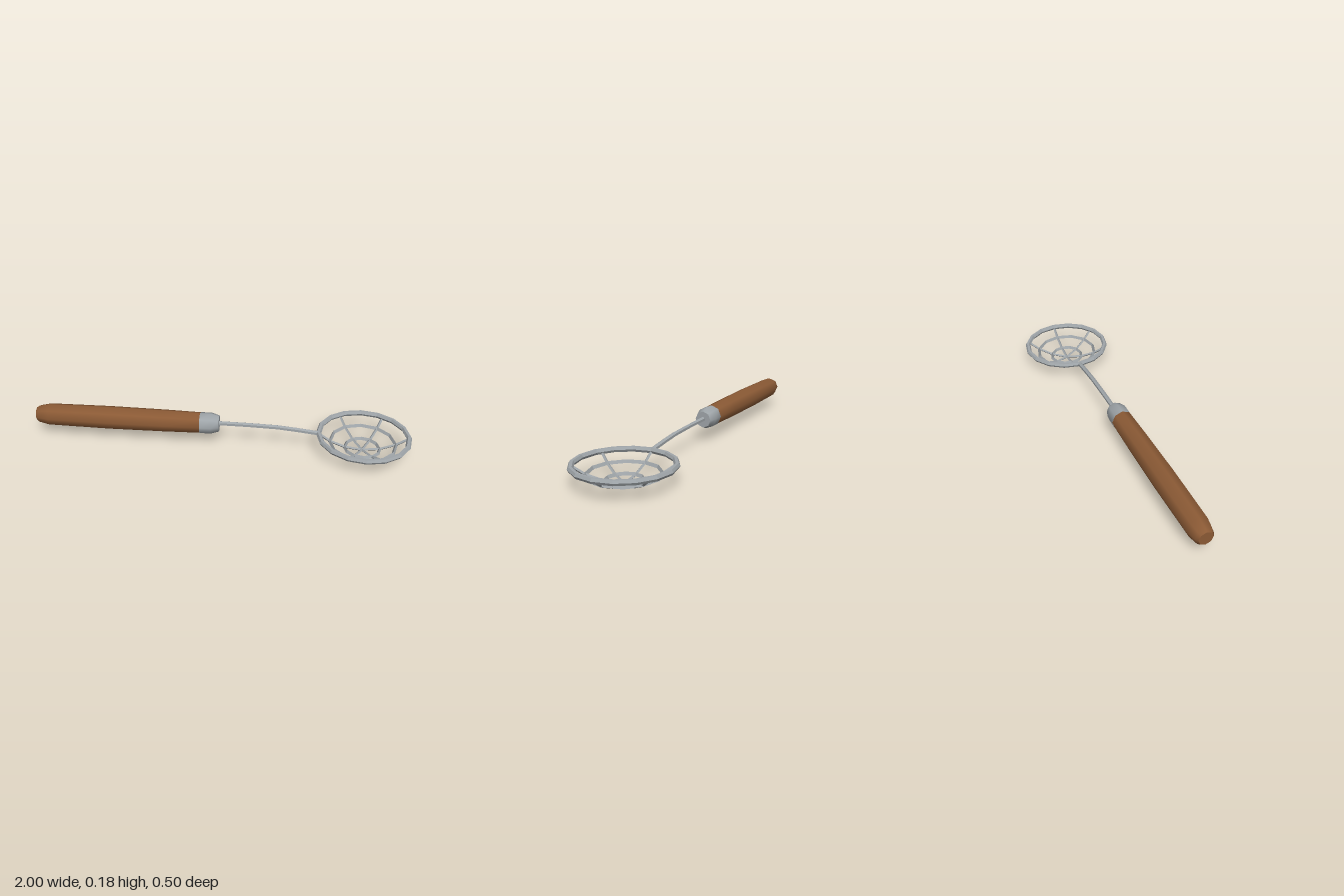
import * as THREE from 'three';
import { toCreasedNormals } from 'three/addons/utils/BufferGeometryUtils.js';

const wood = new THREE.MeshStandardMaterial({ color: 0x8b5a35 });
wood.name = 'wood';
const steel = new THREE.MeshStandardMaterial({ color: 0x9fa5a9 });
steel.name = 'steel';

const BOWL_X = 0.752;
const AXIS_Y = 0.1175;

function part(name, geometry, material, crease) {
  const mesh = new THREE.Mesh(toCreasedNormals(geometry, crease), material);
  mesh.name = name;
  return mesh;
}

// Eight-sided turned part along x, from [x, radius] pairs
function turned(profile) {
  const pts = profile.map(([x, r]) => new THREE.Vector2(r, x));
  return new THREE.LatheGeometry(pts, 8).rotateZ(-Math.PI / 2).translate(0, AXIS_Y, 0);
}

// Wire hoop around y with an n-sided section; start is the angle of a section corner
function hoop(radius, y, wire, n, start, segments) {
  const pts = [];
  for (let i = 0; i <= n; i++) {
    const a = start + (i / n) * Math.PI * 2;
    pts.push(new THREE.Vector2(radius + Math.cos(a) * wire, y + Math.sin(a) * wire));
  }
  return new THREE.LatheGeometry(pts, segments);
}

// Bent wire in the xy plane with an n-sided section, one corner upwards
function bentWire(path, wire, n) {
  const position = [];
  const index = [];
  path.forEach(([x, y], k) => {
    const a = path[Math.max(k - 1, 0)];
    const b = path[Math.min(k + 1, path.length - 1)];
    const len = Math.hypot(b[0] - a[0], b[1] - a[1]);
    const nx = -(b[1] - a[1]) / len;
    const ny = (b[0] - a[0]) / len;
    for (let i = 0; i < n; i++) {
      const t = (i / n) * Math.PI * 2;
      const up = Math.cos(t) * wire;
      position.push(x + nx * up, y + ny * up, Math.sin(t) * wire);
      if (k > 0) {
        const p = (k - 1) * n + i;
        const q = (k - 1) * n + ((i + 1) % n);
        index.push(p, q, p + n, q, q + n, p + n);
      }
    }
  });
  // End caps
  const last = (path.length - 1) * n;
  for (let i = 1; i < n - 1; i++) {
    index.push(0, i + 1, i, last, last + i, last + i + 1);
  }
  const g = new THREE.BufferGeometry();
  g.setAttribute('position', new THREE.Float32BufferAttribute(position, 3));
  g.setIndex(index);
  g.computeVertexNormals();
  return g;
}

export function createModel() {
  const model = new THREE.Group();
  model.name = 'wireSkimmer';

  // Wooden grip and metal collar
  model.add(part('handle', turned([
    [-1, 0], [-1, 0.037], [-0.985, 0.047], [-0.93, 0.059],
    [-0.6, 0.0625], [-0.3, 0.06], [-0.1, 0.056], [-0.1, 0],
  ]), wood, 0.9));
  model.add(part('ferrule', turned([
    [-0.11, 0], [-0.11, 0.057], [-0.05, 0.0575], [-0.008, 0.044], [-0.008, 0],
  ]), steel, 0.9));

  // Rod bending down to the bowl
  model.add(part('rod', bentWire(
    [[-0.03, 0.12], [0.15, 0.119], [0.3, 0.115], [0.4, 0.106], [0.515, 0.093]], 0.0125, 6), steel, 0.3));

  // Wire bowl
  const bowl = new THREE.Group();
  bowl.name = 'bowl';
  bowl.position.x = BOWL_X;
  model.add(bowl);
  bowl.add(part('rim', hoop(0.2345, 0.0925, 0.0142, 6, 0, 16), steel, 0.1));
  bowl.add(part('upperHoop', hoop(0.172, 0.05, 0.01, 3, Math.PI / 2, 12), steel, 0.1));
  bowl.add(part('lowerHoop', hoop(0.091, 0.018, 0.01, 3, Math.PI / 2, 12), steel, 0.1));

  // Six ribs meeting at the bottom
  const ribPath = [[0, 0.005], [0.091, 0.017], [0.172, 0.049], [0.234, 0.091]];
  for (let i = 0; i < 6; i++) {
    const rib = part('rib', bentWire(ribPath, 0.0075, 4), steel, 0.1);
    rib.rotation.y = (i * Math.PI) / 3;
    bowl.add(rib);
  }
  return model;
}
